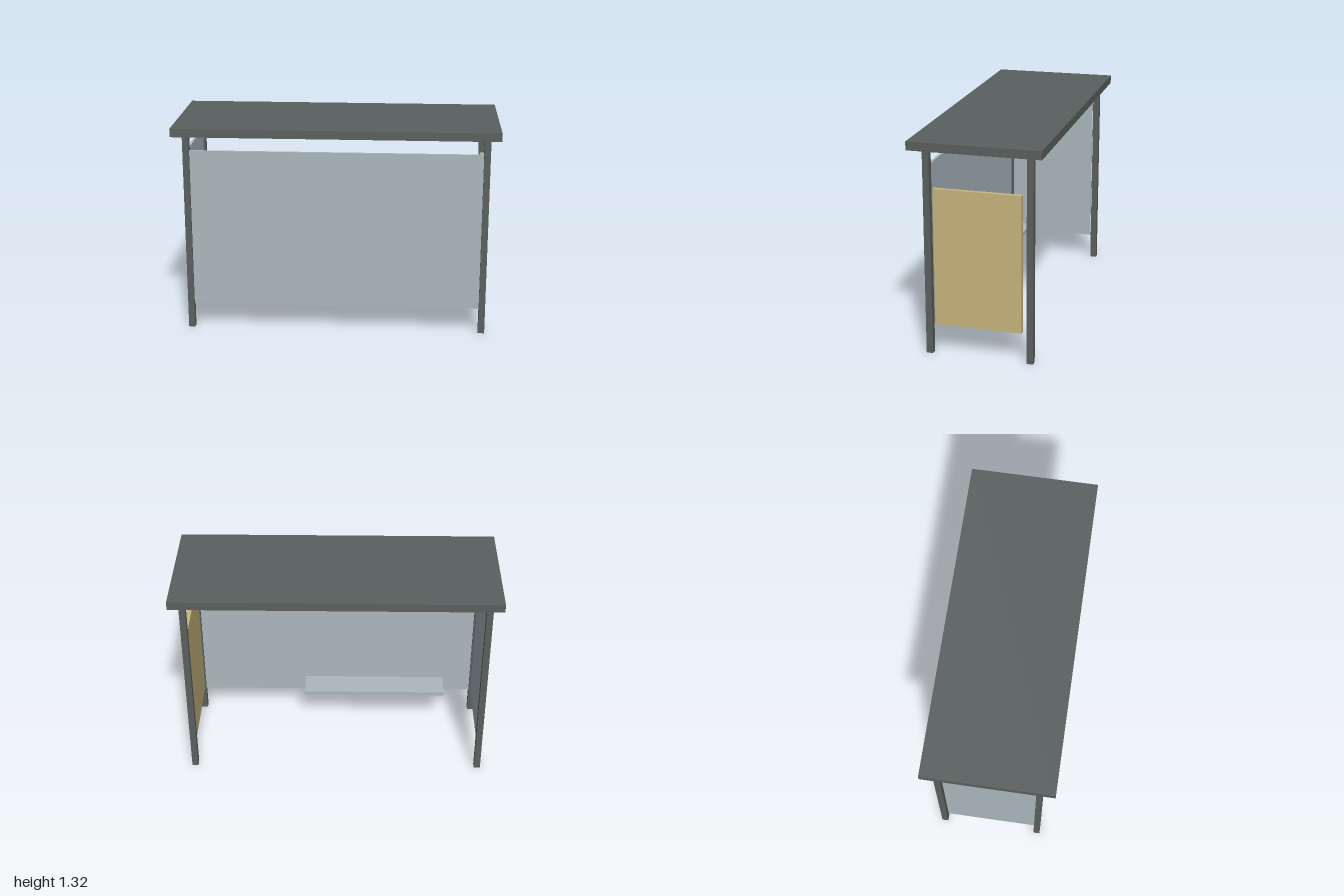
import * as THREE from 'three';

export function createModel() {
  const model = new THREE.Group();
  model.name = 'shelter';

  const material = (name, color) => {
    const m = new THREE.MeshStandardMaterial({ color });
    m.name = name;
    return m;
  };
  const frame = material('darkFrame', 0x5a605f);
  const glass = material('paleGlass', 0xabb8be);
  const board = material('tanBoard', 0xc8b57c);

  // Box given by its extent along each axis
  const box = (name, mat, [x0, x1], [y0, y1], [z0, z1]) => {
    const mesh = new THREE.Mesh(new THREE.BoxGeometry(x1 - x0, y1 - y0, z1 - z0), mat);
    mesh.position.set((x0 + x1) / 2, (y0 + y1) / 2, (z0 + z1) / 2);
    mesh.name = name;
    model.add(mesh);
  };

  // Flat roof slab
  box('roof', frame, [-1, 1], [1.265, 1.317], [-0.396, 0.396]);

  // Four square corner posts
  for (const [side, x] of [['right', -0.921], ['left', 0.921]]) {
    for (const [end, z] of [['Front', 0.301], ['Back', -0.315]]) {
      box(`${side}${end}Post`, frame, [x - 0.02, x + 0.02], [0, 1.265], [z - 0.02, z + 0.02]);
    }
  }

  // Long glass wall and glass end wall
  box('longGlassPanel', glass, [-0.905, 0.905], [0.16, 1.16], [0.294, 0.308]);
  box('endGlassPanel', glass, [-0.928, -0.914], [0.16, 1.16], [-0.287, 0.287]);

  // Poster board on the other end
  box('posterBoard', board, [0.907, 0.935], [0.187, 1.028], [-0.264, 0.264]);

  // Bench along the long wall, set towards the glass end
  box('benchSeat', glass, [-0.715, 0.213], [0.253, 0.279], [0.105, 0.276]);

  return model;
}
